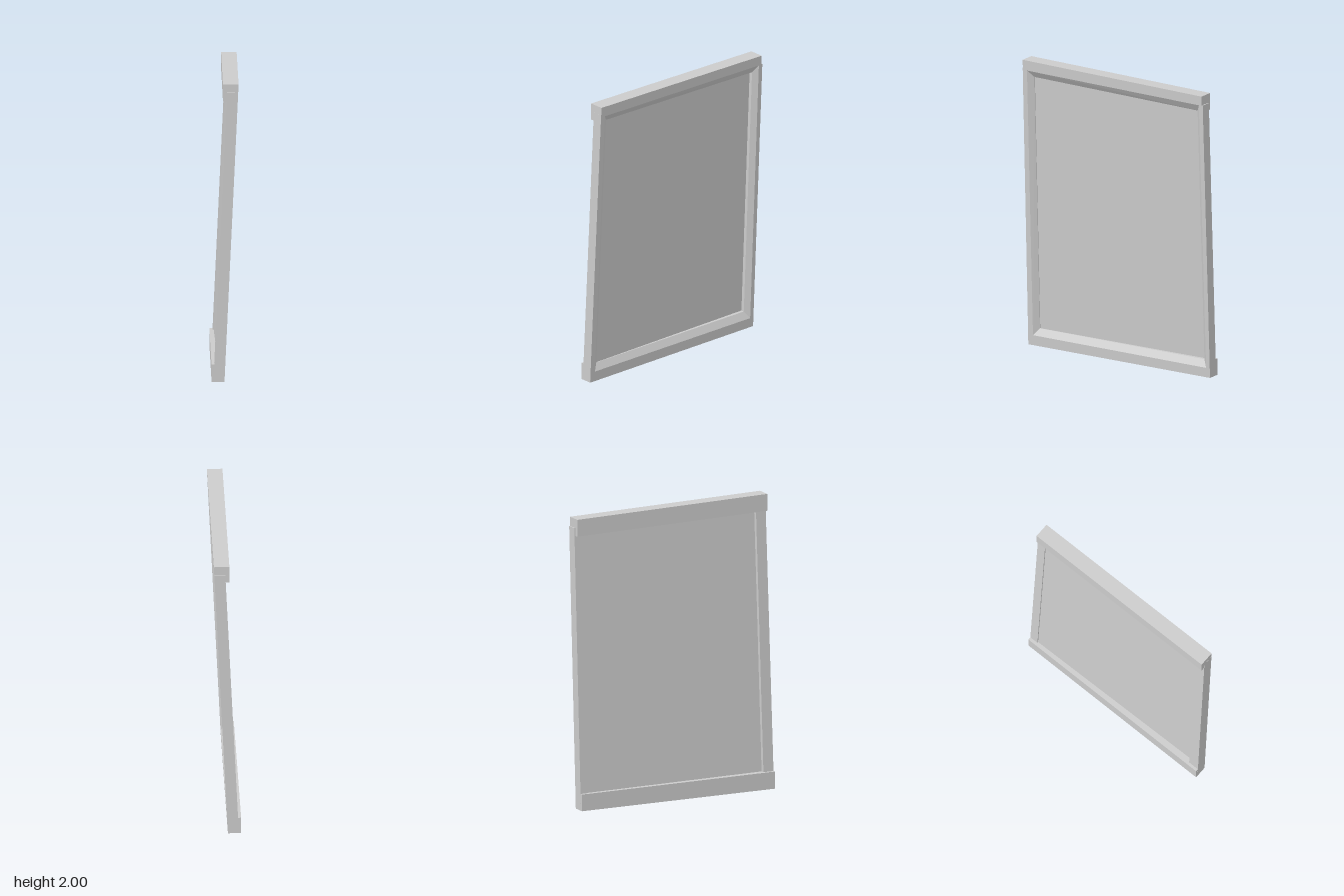
import * as THREE from 'three';
import { ConvexGeometry } from 'three/addons/geometries/ConvexGeometry.js';

// The frame leans towards +x as it rises: x of its outer face at height y
const lean = (y) => -0.004 + 0.047 * y;

export function createModel() {
  const group = new THREE.Group();
  const material = new THREE.MeshStandardMaterial({ color: 0xcccccc, flatShading: true });

  // A straight member spanned between two convex end sections
  function beam(name, endA, endB) {
    const points = [...endA, ...endB].map((p) => new THREE.Vector3(...p));
    const mesh = new THREE.Mesh(new ConvexGeometry(points), material);
    mesh.name = name;
    group.add(mesh);
  }

  // Rail section at z: outer edge, bevel start and inner edge heights, back face x
  function railSection(z, outer, bevel, inner, back) {
    return [
      [lean(outer), outer, z],
      [back, outer, z],
      [back, inner, z],
      [lean(inner) - 0.03, inner, z],
      [lean(bevel), bevel, z],
    ];
  }

  // Stile section at y: outer edge, bevel start and inner edge along z
  function stileSection(y, outer, bevel, inner) {
    const x = lean(y);
    return [
      [x, y, outer],
      [x - 0.073, y, outer],
      [x - 0.073, y, inner],
      [x - 0.03, y, inner],
      [x, y, bevel],
    ];
  }

  // Panel edge at z: two thin ends, set at a given depth behind the outer face
  function panelEdge(z, depth) {
    const points = [];
    for (const y of [0.09, 1.91])
      for (const t of [0, 0.012]) points.push([lean(y) - depth + t, y, z]);
    return points;
  }

  // Rails, deeper than the stiles at the back
  beam('topRail',
    railSection(0.712, 2.0, 1.93, 1.885, -0.014),
    railSection(-0.718, 1.982, 1.917, 1.867, -0.014));
  beam('bottomRail',
    railSection(0.728, 0, 0.07, 0.117, -0.09),
    railSection(-0.724, 0.008, 0.074, 0.122, -0.092));

  // Stiles, running into both rails so the bevels meet in mitres
  beam('leftStile',
    stileSection(0.01, 0.729, 0.69, 0.653),
    stileSection(1.945, 0.713, 0.679, 0.64));
  beam('rightStile',
    stileSection(0.012, -0.724, -0.695, -0.663),
    stileSection(1.92, -0.726, -0.695, -0.663));

  // Thin panel, set slightly askew within the frame
  beam('panel', panelEdge(0.675, 0.046), panelEdge(-0.68, 0.066));

  return group;
}
